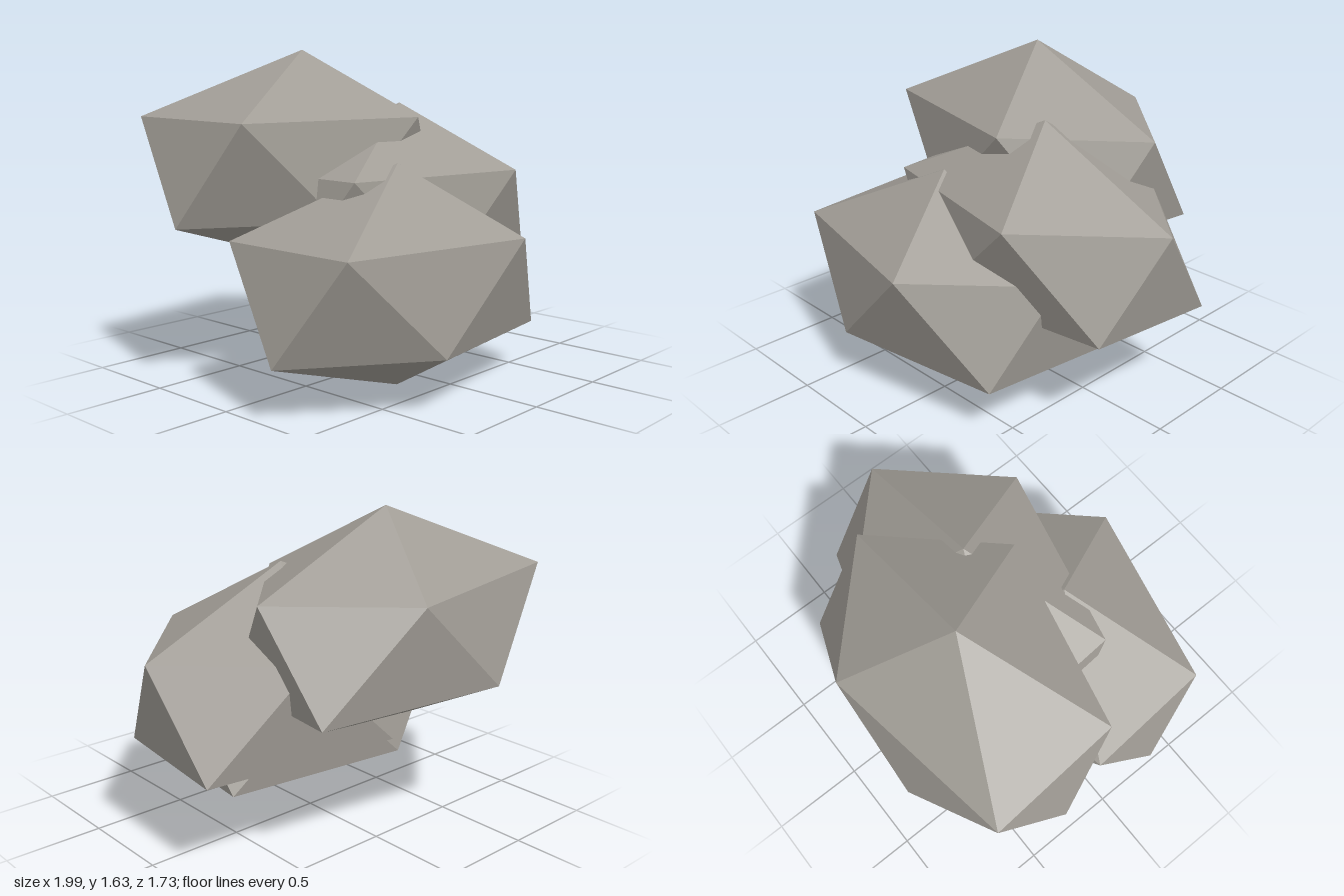
import * as THREE from 'three';

// Faceted boulder: base point, lower ring, upper ring, peak (origin at its base point)
function boulderGeometry() {
  const peak = [0, 1.09, 0];
  const base = [0, 0, 0];
  const upper = [[0.79, 0.73, 0], [0.27, 0.755, 0.55], [-0.69, 0.75, 0.33], [-0.74, 0.765, -0.36], [0.25, 0.73, -0.51]];
  const lower = [[0.67, 0.25, 0.33], [-0.23, 0.27, 0.49], [-0.82, 0.255, 0], [-0.26, 0.255, -0.53], [0.73, 0.23, -0.36]];

  const corners = [];
  for (let i = 0; i < 5; i++) {
    const j = (i + 1) % 5;
    corners.push(
      peak, upper[j], upper[i], // cap
      upper[i], upper[j], lower[i], // sides
      upper[j], lower[j], lower[i],
      base, lower[i], lower[j] // underside
    );
  }
  const geometry = new THREE.BufferGeometry();
  geometry.setAttribute('position', new THREE.Float32BufferAttribute(corners.flat(), 3));
  geometry.computeVertexNormals();
  return geometry;
}

export function createModel() {
  const group = new THREE.Group();
  group.name = 'boulderPile';

  const stone = new THREE.MeshStandardMaterial({ color: 0xa09c95, flatShading: true });
  stone.name = 'stone grey';
  const geometry = boulderGeometry();

  // Three overlapping boulders stepping up towards the back
  const places = {
    frontBoulder: [-0.18, 0, 0.31],
    middleBoulder: [0.2, 0.27, -0.01],
    backBoulder: [-0.18, 0.54, -0.34],
  };
  for (const [name, position] of Object.entries(places)) {
    const boulder = new THREE.Mesh(geometry, stone);
    boulder.name = name;
    boulder.position.set(...position);
    group.add(boulder);
  }
  return group;
}
